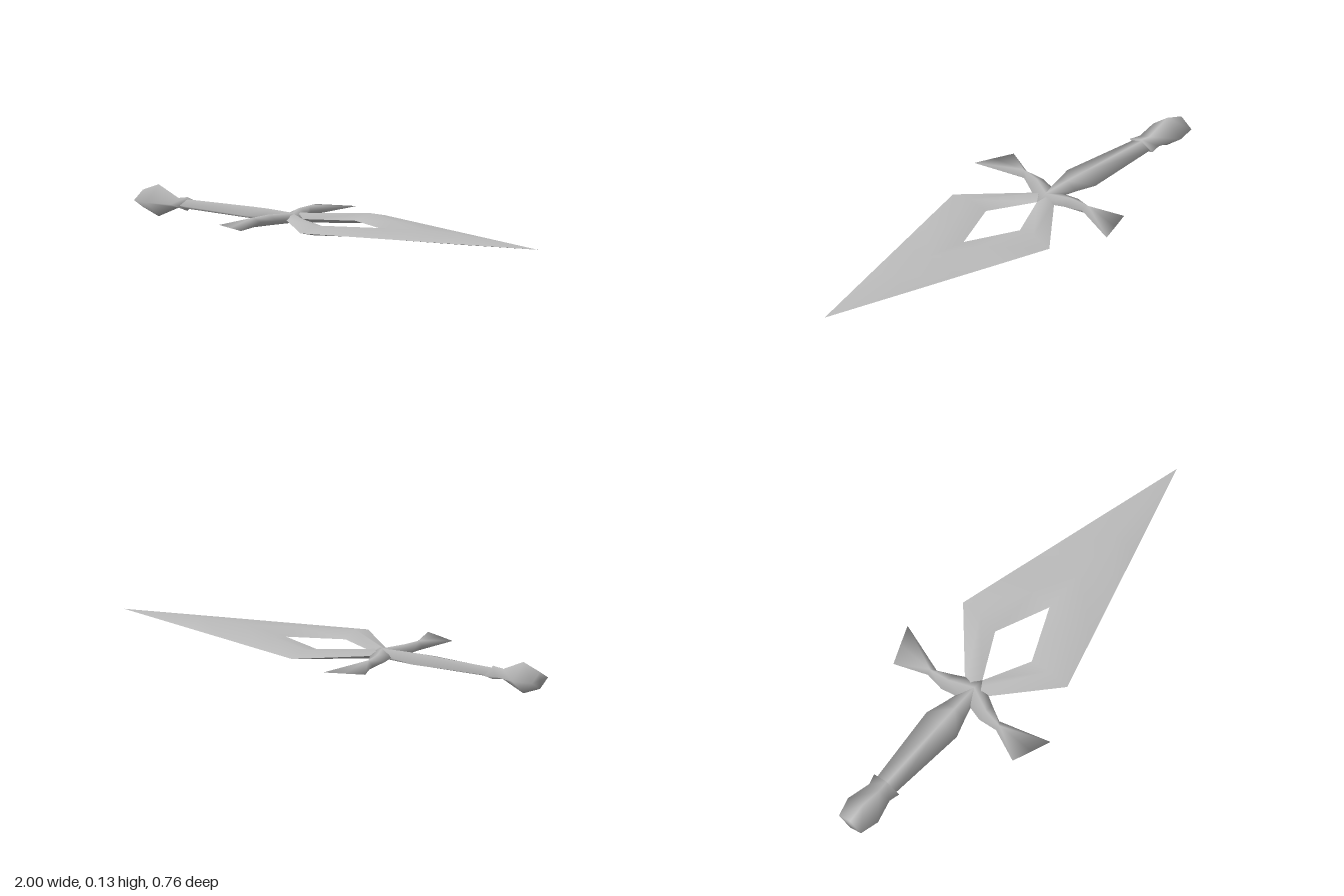
import * as THREE from 'three';
import { mergeGeometries, mergeVertices } from 'three/addons/utils/BufferGeometryUtils.js';

const MID = 0.066; // height of the dagger's middle plane

// Welds a list of points into one smooth surface
function smoothSurface(pos) {
  let geo = new THREE.BufferGeometry();
  geo.setAttribute('position', new THREE.Float32BufferAttribute(pos, 3));
  geo = mergeVertices(geo, 1e-5);
  geo.computeVertexNormals();
  return geo;
}

// Diamond loft. Each section: [edgeA x,z, ridge x,z, edgeB x,z, ridge height].
// Sides lists the mirror signs in z. Sharp keeps a crease along the edges.
function diamondLoft(sections, sides, sharp = false) {
  const upper = [], lower = [];
  const add = (pos, a, b, c) => {
    if ([a, b, c].every((p) => Math.abs(p.z) < 1e-6)) return; // hidden seam faces
    if (new THREE.Triangle(a, b, c).getArea() < 1e-8) return;
    for (const p of [a, b, c]) pos.push(p.x, p.y, p.z);
  };
  for (const s of sides) {
    const rings = sections.map(([ax, az, rx, rz, bx, bz, h]) => [
      new THREE.Vector3(ax, MID, az * s),
      new THREE.Vector3(rx, MID + h, rz * s),
      new THREE.Vector3(bx, MID, bz * s),
      new THREE.Vector3(rx, MID - h, rz * s),
    ]);
    for (let i = 0; i < rings.length - 1; i++) {
      for (let j = 0; j < 4; j++) {
        const k = (j + 1) % 4;
        const pos = j < 2 ? upper : lower;
        const tri = (a, b, c) => (s > 0 ? add(pos, a, b, c) : add(pos, a, c, b));
        const p = rings[i][j], q = rings[i][k], r = rings[i + 1][k], t = rings[i + 1][j];
        if (j % 2) { tri(p, t, q); tri(t, r, q); }
        else { tri(p, r, q); tri(p, t, r); }
      }
    }
  }
  return sharp
    ? mergeGeometries([smoothSurface(upper), smoothSurface(lower)])
    : smoothSurface([...upper, ...lower]);
}

// Straight part along x from [x, half width, half height]
const straight = (profile) =>
  diamondLoft(profile.map(([x, w, h]) => [x, w, x, 0, x, -w, h]), [1]);

export function createModel() {
  const group = new THREE.Group();
  const steel = new THREE.MeshStandardMaterial({ color: 0xbcbcbc, side: THREE.DoubleSide });
  steel.name = 'steel grey';
  const part = (name, geo) => {
    const mesh = new THREE.Mesh(geo, steel);
    mesh.name = name;
    group.add(mesh);
  };

  // Split blade with an open centre, closing to a solid point
  part('blade', diamondLoft([
    [-0.22, 0.02, -0.22, 0.02, -0.22, 0.02, 0],
    [-0.25, 0.04, -0.22, 0.02, -0.19, 0, 0.02],
    [0.01, 0.275, 0.01, 0.185, 0, 0.097, 0.02],
    [0.22, 0.217, 0.22, 0.088, 0.22, 0, 0.02],
    [0.41, 0.164, 0.41, 0, 0.41, 0, 0.02],
    [0.62, 0.106, 0.62, 0, 0.62, 0, 0.02],
    [1, 0, 1, 0, 1, 0, 0],
  ], [1, -1], true));

  // Flared crossguard arms, each ending in a bevelled slanted edge
  part('crossguard', diamondLoft([
    [-0.3, 0, -0.24, 0, -0.19, 0, 0.02],
    [-0.325, 0.1, -0.285, 0.1, -0.245, 0.1, 0.022],
    [-0.315, 0.18, -0.297, 0.18, -0.278, 0.165, 0.02],
    [-0.37, 0.315, -0.297, 0.185, -0.21, 0.378, 0.02],
    [-0.37, 0.315, -0.29, 0.347, -0.21, 0.378, 0],
  ], [1, -1]));

  // Grip swelling toward the guard
  part('grip', straight([
    [-0.82, 0.045, 0.017], [-0.78, 0.05, 0.019], [-0.44, 0.08, 0.024],
    [-0.36, 0.055, 0.024], [-0.24, 0.02, 0.02], [-0.19, 0, 0],
  ]));

  // Faceted pommel with a flared collar
  part('pommel', straight([
    [-1, 0, 0], [-1, 0.058, 0.035], [-0.92, 0.079, 0.065],
    [-0.82, 0.054, 0.02], [-0.775, 0.066, 0.028], [-0.775, 0, 0],
  ]));
  return group;
}
